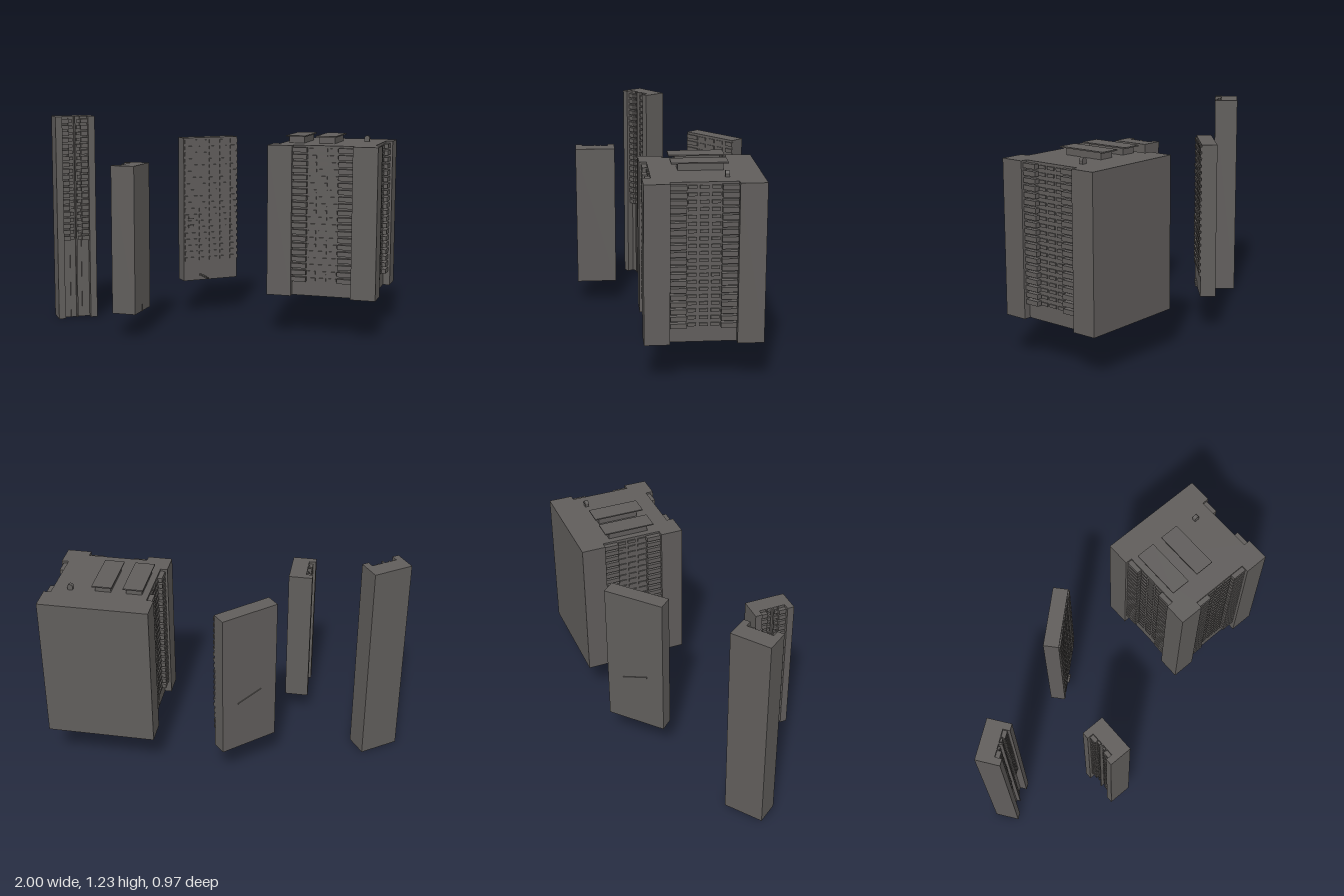
import * as THREE from 'three';

const concrete = new THREE.MeshStandardMaterial({ color: 0x605d5b });
concrete.name = 'concrete';

function add(parent, name, geometry, x = 0, y = 0, z = 0) {
  const mesh = new THREE.Mesh(geometry, concrete);
  mesh.name = name;
  mesh.position.set(x, y, z);
  parent.add(mesh);
  return mesh;
}

// Box given by its limits along each axis
function block(parent, name, x0, x1, y0, y1, z0, z1) {
  return add(parent, name, new THREE.BoxGeometry(x1 - x0, y1 - y0, z1 - z0),
    (x0 + x1) / 2, (y0 + y1) / 2, (z0 + z1) / 2);
}

// Upright prism over a plan outline of [x, z] points
function prism(parent, name, plan, y0, y1) {
  const shape = new THREE.Shape(plan.map(([x, z]) => new THREE.Vector2(x, -z)));
  const geometry = new THREE.ExtrudeGeometry(shape, { depth: y1 - y0, bevelEnabled: false });
  geometry.rotateX(-Math.PI / 2);
  return add(parent, name, geometry, 0, y0, 0);
}

// Rows of slabs on a wall facing local +z; each column is [from, to, depth, height share]
function facade(parent, name, columns, y0, y1, floors) {
  const group = new THREE.Group();
  group.name = name;
  const step = (y1 - y0) / floors;
  for (let i = 0; i < floors; i++) {
    for (const [a, b, depth, share] of columns) {
      const mid = y0 + (i + 0.5) * step;
      const h = step * share / 2;
      block(group, 'ledge', a, b, mid - h, mid + h, -0.004, depth);
    }
  }
  parent.add(group);
  return group;
}

function building(root, name, x, z, turn) {
  const group = new THREE.Group();
  group.name = name;
  group.position.set(x, 0, z);
  group.rotation.y = turn;
  root.add(group);
  return group;
}

// Wide block with recessed balcony walls on three sides
function wideBlock(root) {
  const g = building(root, 'wideBlock', 0, 0, 0);
  prism(g, 'wideBlockBody', [
    [0.375, -0.475], [1, -0.475], [1, -0.335], [0.96, -0.335], [0.96, 0.015], [1, 0.015],
    [1, 0.15], [0.86, 0.15], [0.86, 0.105], [0.515, 0.105], [0.515, 0.145], [0.375, 0.145],
    [0.375, 0.015], [0.415, 0.015], [0.415, -0.335], [0.375, -0.335],
  ], 0.235, 1.09);

  const columns = [
    [-0.173, -0.09, 0.028, 0.68], [0.09, 0.173, 0.028, 0.68],
    [-0.083, -0.038, 0.007, 0.45], [-0.023, 0.023, 0.007, 0.45], [0.038, 0.083, 0.007, 0.45],
  ];
  const walls = [['front', 0.6875, 0.105, 0], ['left', 0.96, -0.16, Math.PI / 2],
    ['right', 0.415, -0.16, -Math.PI / 2]];
  for (const [side, x, z, turn] of walls) {
    const wall = facade(g, side + 'Balconies', columns, 0.312, 1.085, 20);
    wall.position.set(x, 0, z);
    wall.rotation.y = turn;
  }

  // Roof houses with overhanging lids
  for (const x of [0.497, 0.674]) {
    block(g, 'roofHouse', x - 0.045, x + 0.045, 1.085, 1.128, -0.285, -0.045);
    block(g, 'roofLid', x - 0.057, x + 0.057, 1.127, 1.134, -0.31, -0.01);
  }
  // Small hooded vent
  block(g, 'ventStem', 0.845, 0.873, 1.085, 1.108, -0.297, -0.275);
  const hood = add(g, 'ventHood', new THREE.CylinderGeometry(0.016, 0.016, 0.022, 12), 0.859, 1.108, -0.286);
  hood.rotation.x = Math.PI / 2;
}

// Thin slab with ledges across its front
function thinSlab(root) {
  const g = building(root, 'thinSlab', -0.138, -0.338, 0.725);
  block(g, 'thinSlabBody', -0.177, 0.177, 0.21, 1.09, -0.0435, 0.0435);
  const wall = facade(g, 'thinSlabLedges', [
    [-0.172, -0.09, 0.008, 0.6], [-0.078, -0.028, 0.006, 0.5], [-0.01, 0.04, 0.006, 0.5],
    [0.06, 0.105, 0.006, 0.5], [0.13, 0.179, 0.008, 0.6],
  ], 0.325, 1.085, 20);
  wall.position.z = 0.0435;

  // Entrance steps, wall units and rear beam
  for (let i = 0; i < 4; i++) {
    const x = -0.075 + i * 0.016;
    block(g, 'entranceStep', x, x + 0.012, 0.239 - i * 0.008, 0.248 - i * 0.008, 0.04, 0.056);
  }
  for (const y of [0.54, 0.595]) block(g, 'wallUnit', -0.15, -0.115, y, y + 0.018, 0.04, 0.055);
  const beam = block(g, 'rearBeam', -0.08, 0.08, 0.535, 0.543, -0.049, -0.04);
  beam.rotation.z = -0.3;
}

// Narrow tower with a split balcony recess on its local front
function narrowTower(root, name, x, z, turn, y0, y1, balconyStart) {
  const g = building(root, name, x, z, turn);
  const w = 0.118, d = 0.069, r = 0.078, back = 0.029;
  prism(g, name + 'Body', [
    [-w, -d], [w, -d], [w, d], [r, d], [r, back], [-r, back], [-r, d], [-w, d],
  ], y0, y1);
  block(g, 'divider', -0.004, 0.004, y0, y1, back - 0.004, back + 0.022);
  const columns = [];
  for (const s of [-1, 1]) {
    for (const [a, b, depth, share] of [[0.036, r, 0.024, 0.7], [0.012, 0.034, 0.011, 0.5]]) {
      columns.push([Math.min(s * a, s * b), Math.max(s * a, s * b), depth, share]);
    }
    // Vertical rib between the balcony columns
    block(g, 'rib', s * 0.035 - 0.003, s * 0.035 + 0.003, y0, y1, back - 0.004, back + 0.008);
  }
  const wall = facade(g, name + 'Balconies', columns, balconyStart, y1 - 0.01, 20);
  wall.position.z = back;
  return g;
}

export function createModel() {
  const root = new THREE.Group();
  root.name = 'towerBlocks';
  wideBlock(root);
  thinSlab(root);
  narrowTower(root, 'tallTower', -0.866, 0.04, 0.621, 0, 1.225, 0.47);
  const low = narrowTower(root, 'shortTower', -0.368, 0.364, -Math.PI / 2, 0.14, 0.98, 0.22);
  // Thin upright at the foot of the rear wall
  block(low, 'drainPipe', 0.008, 0.013, 0.14, 0.18, -0.073, -0.066);
  return root;
}
